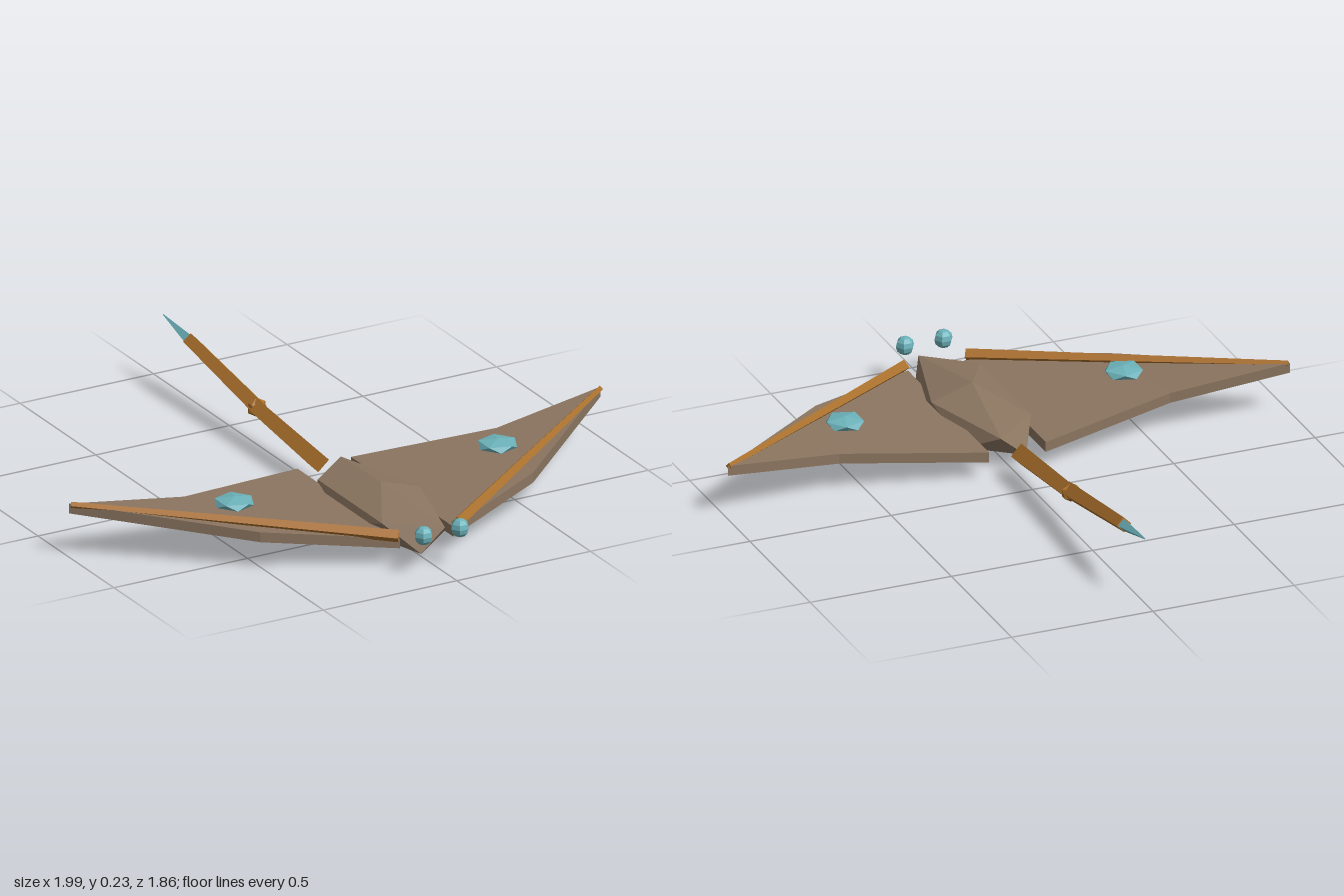
import * as THREE from 'three';
import { ConvexGeometry } from 'three/addons/geometries/ConvexGeometry.js';

const material = (name, color) => {
  const m = new THREE.MeshStandardMaterial({ color });
  m.name = name;
  return m;
};

// Gives every face its own normal for the low-poly look
function faceted(geometry) {
  const g = geometry.index ? geometry.toNonIndexed() : geometry;
  g.computeVertexNormals();
  return g;
}

// Twelve-point gem with its poles on the y axis, stretched per axis
function gem(rx, ry, rz) {
  const pts = [new THREE.Vector3(0, ry, 0), new THREE.Vector3(0, -ry, 0)];
  const h = 1 / Math.sqrt(5);
  for (let i = 0; i < 5; i++) {
    const a = (i * Math.PI * 2) / 5;
    const x = 2 * h * rx * Math.cos(a), z = 2 * h * rz * Math.sin(a);
    pts.push(new THREE.Vector3(x, h * ry, z), new THREE.Vector3(-x, -h * ry, z));
  }
  return faceted(new ConvexGeometry(pts));
}

// Solid wing plate, slightly raised toward the tip; side is +1 or -1
function wingPlate(side) {
  const outline = [
    [0.10, 0.10, 0.125], [0.585, 0.14, 0.23], [0.995, 0.188, 0.195],
    [0.51, 0.135, 0.605], [0.10, 0.10, 0.80],
  ];
  const top = outline.map(([x, y, z]) => [x * side, y, z]);
  const bottom = top.map(([x, y, z]) => [x, y - 0.035, z]);
  const positions = [];
  const tri = (a, b, c) => positions.push(...a, ...(side > 0 ? b : c), ...(side > 0 ? c : b));
  for (const [a, b, c] of [[0, 4, 3], [0, 3, 1], [1, 3, 2]]) {
    tri(top[a], top[b], top[c]);
    tri(bottom[a], bottom[c], bottom[b]);
  }
  for (let i = 0; i < 5; i++) {
    const j = (i + 1) % 5;
    tri(top[i], top[j], bottom[i]);
    tri(top[j], bottom[j], bottom[i]);
  }
  const g = new THREE.BufferGeometry();
  g.setAttribute('position', new THREE.Float32BufferAttribute(positions, 3));
  return faceted(g);
}

export function createModel() {
  const group = new THREE.Group();
  const hide = material('tan hide', 0x8b7560);
  const bone = material('amber bone', 0xa86e2a);
  const crystal = material('teal crystal', 0x6cb2ba);

  const add = (name, geometry, mat, x = 0, y = 0, z = 0) => {
    const mesh = new THREE.Mesh(geometry, mat);
    mesh.name = name;
    mesh.position.set(x, y, z);
    group.add(mesh);
    return mesh;
  };

  // Tapered four-sided bar from a to b with a ridge on top
  const bar = (name, a, b, ra, rb, mat) => {
    const start = new THREE.Vector3(...a), end = new THREE.Vector3(...b);
    const g = new THREE.CylinderGeometry(rb, ra, start.distanceTo(end), 4).rotateX(Math.PI / 2);
    const mid = start.clone().lerp(end, 0.5);
    add(name, faceted(g), mat, mid.x, mid.y, mid.z).lookAt(end);
  };

  add('body', gem(0.162, 0.084, 0.403), hide, 0, 0.087, 0.5);

  // Wings with their leading spars, crystals and the eyes
  for (const [label, s] of [['left', 1], ['right', -1]]) {
    add(label + 'Wing', wingPlate(s), hide);
    bar(label + 'WingSpar', [s * 0.11, 0.114, 0.81], [s * 0.99, 0.184, 0.2], 0.022, 0.011, bone);
    add(label + 'WingCrystal', gem(0.072, 0.02, 0.072), crystal, s * 0.493, 0.165, 0.4);
    add(label + 'Eye', faceted(new THREE.SphereGeometry(0.032, 6, 6)), crystal, s * 0.068, 0.14, 0.9);
  }

  // Two-piece tail with a knuckle and a pointed stinger
  bar('tailBase', [0, 0.09, 0.09], [0, 0.132, -0.31], 0.038, 0.032, bone);
  bar('tailEnd', [0, 0.135, -0.31], [0, 0.21, -0.76], 0.032, 0.026, bone);
  add('tailKnuckle', gem(0.036, 0.034, 0.024), bone, 0, 0.134, -0.32);
  bar('stinger', [0, 0.208, -0.755], [0, 0.236, -0.935], 0.022, 0.002, crystal);

  return group;
}
